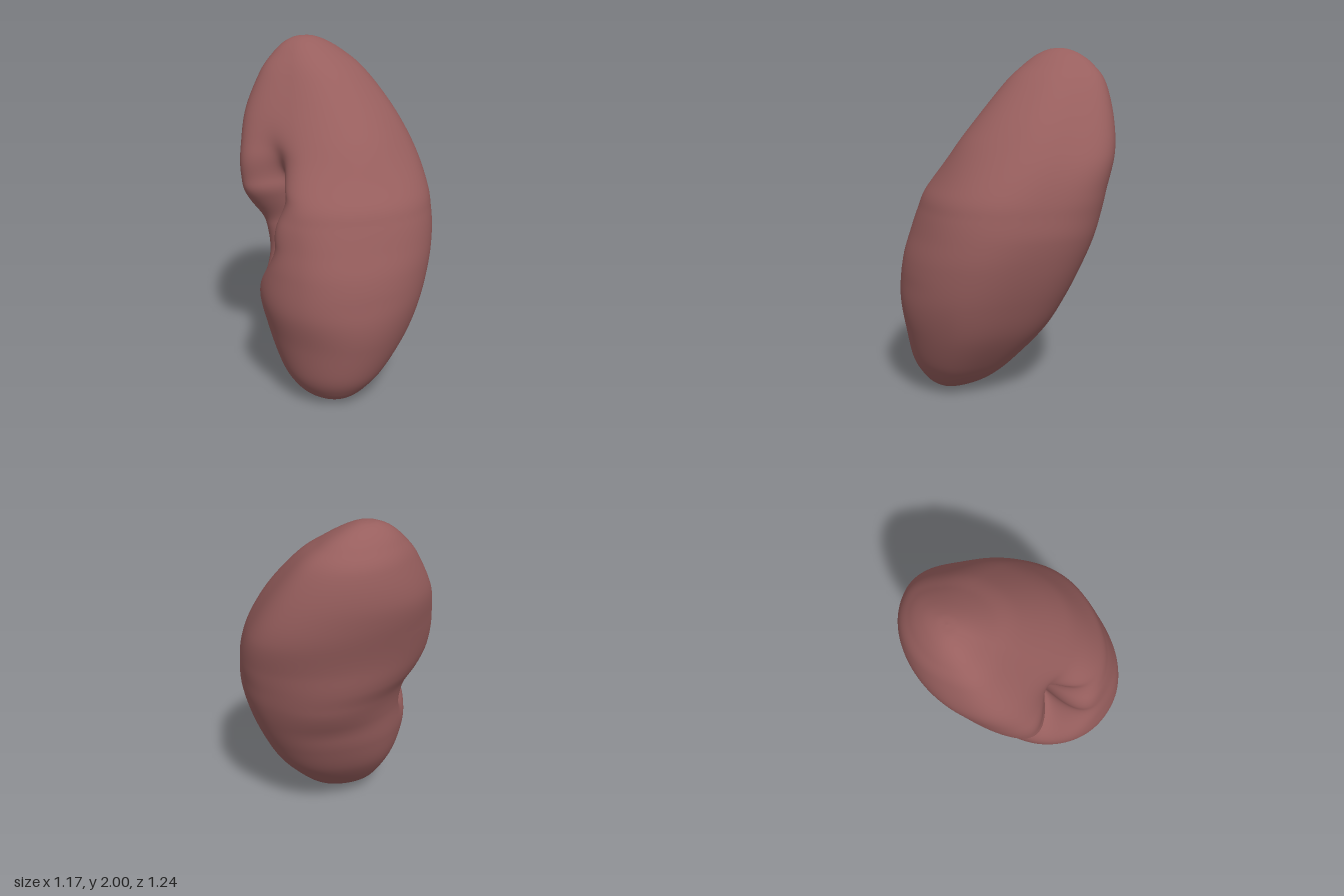
import * as THREE from 'three';

const { clamp, degToRad, lerp, smoothstep } = THREE.MathUtils;

// Horizontal sections from bottom to top: y, min x, max x, min z, max z
const SECTIONS = [
  [0, 0.13, 0.13, 0.3, 0.3],
  [0.006, 0.06, 0.2, 0.24, 0.37],
  [0.03, -0.02, 0.27, 0.16, 0.43],
  [0.09, -0.11, 0.34, 0.05, 0.492],
  [0.2, -0.2, 0.42, -0.075, 0.548],
  [0.4, -0.31, 0.51, -0.255, 0.585],
  [0.6, -0.362, 0.565, -0.375, 0.62],
  [0.8, -0.38, 0.583, -0.47, 0.6],
  [0.95, -0.415, 0.574, -0.527, 0.563],
  [1.08, -0.48, 0.55, -0.56, 0.53],
  [1.2, -0.52, 0.51, -0.585, 0.487],
  [1.4, -0.56, 0.385, -0.617, 0.35],
  [1.6, -0.585, 0.235, -0.587, 0.22],
  [1.8, -0.54, 0.04, -0.515, 0.085],
  [1.9, -0.49, -0.1, -0.43, 0.0],
  [1.96, -0.44, -0.2, -0.345, -0.07],
  [1.992, -0.385, -0.275, -0.265, -0.14],
  [2, -0.33, -0.33, -0.2, -0.2],
];

// Fullness of each section's diagonals at 45, 135, 225 and 315 degrees, by y
const CORNERS = [
  [0, 0.02, 0, -0.06, -0.08],
  [0.4, 0.02, 0, -0.06, -0.08],
  [0.7, -0.03, 0.03, -0.04, -0.08],
  [0.97, -0.05, 0.03, 0.03, -0.08],
  [1.2, -0.04, 0.04, 0.04, -0.1],
  [1.5, 0.05, 0.06, 0.04, -0.11],
  [1.8, 0.05, 0.06, 0.08, -0.1],
  [2, 0, 0, 0, -0.05],
];

// Hilum pocket: y, direction in degrees, angular width
const HILUM = [
  [0.65, 152, 0.22],
  [0.95, 138, 0.28],
  [1.2, 121, 0.31],
  [1.4, 112, 0.3],
];

// Smoothly blended row of a table keyed by y
function rowAt(table, y) {
  const top = table.length - 1;
  const v = clamp(y, table[0][0], table[top][0]);
  const k = Math.max(1, table.findIndex((row) => row[0] >= v));
  const a = table[k - 1], b = table[k];
  const s = smoothstep(v, a[0], b[0]);
  return a.slice(1).map((value, n) => lerp(value, b[n + 1], s));
}

function createBody() {
  const rows = 160, cols = 160;
  const curve = (pick) => new THREE.CatmullRomCurve3(
    SECTIONS.map((s) => new THREE.Vector3(...pick(s))), false, 'catmullrom');
  const centres = curve(([y, x0, x1, z0, z1]) => [(x0 + x1) / 2, y, (z0 + z1) / 2]);
  const halves = curve(([, x0, x1, z0, z1]) => [(x1 - x0) / 2, 0, (z1 - z0) / 2]);
  const positions = [], indices = [];

  for (let i = 0; i <= rows; i++) {
    const c = centres.getPoint(i / rows);
    const h = halves.getPoint(i / rows);
    const corners = rowAt(CORNERS, c.y);
    const [direction, width] = rowAt(HILUM, c.y);
    const middle = degToRad(direction);
    const depth = c.y > 1.1
      ? 0.48 * Math.exp(-(((c.y - 1.1) / 0.27) ** 2))
      : 0.48 * Math.exp(-(((c.y - 1.1) / 0.35) ** 4));
    // The upper lobe leans forward on its right side and leftward at its back
    const lean = smoothstep(c.y, 0.8, 1.4);

    for (let j = 0; j < cols; j++) {
      const t = (j / cols) * Math.PI * 2;
      const cos = Math.cos(t), sin = Math.sin(t);
      const fullness = 1 + corners[Math.floor((j * 4) / cols)] * Math.sin(2 * t) ** 2;
      const dent = depth * Math.exp(-(((t - middle) / width) ** 2));
      const r = fullness * (1 - dent);
      const x = cos + 0.2 * lean * Math.min(sin, 0) ** 2;
      const z = sin + 0.3 * lean * Math.min(cos, 0) ** 2;
      positions.push(c.x + h.x * x * r, c.y + 0.1 * dent, c.z + h.z * z * r);
      if (i === rows) continue;
      const a = i * cols + j, b = i * cols + ((j + 1) % cols);
      indices.push(a, a + cols, b, b, a + cols, b + cols);
    }
  }

  const geometry = new THREE.BufferGeometry();
  geometry.setAttribute('position', new THREE.Float32BufferAttribute(positions, 3));
  geometry.setIndex(indices);
  geometry.computeVertexNormals();
  return geometry;
}

export function createModel() {
  const group = new THREE.Group();
  group.name = 'kidney';
  const body = new THREE.Mesh(createBody(), new THREE.MeshStandardMaterial({ color: 0x985f5e }));
  body.name = 'kidneyBody';
  group.add(body);
  return group;
}
